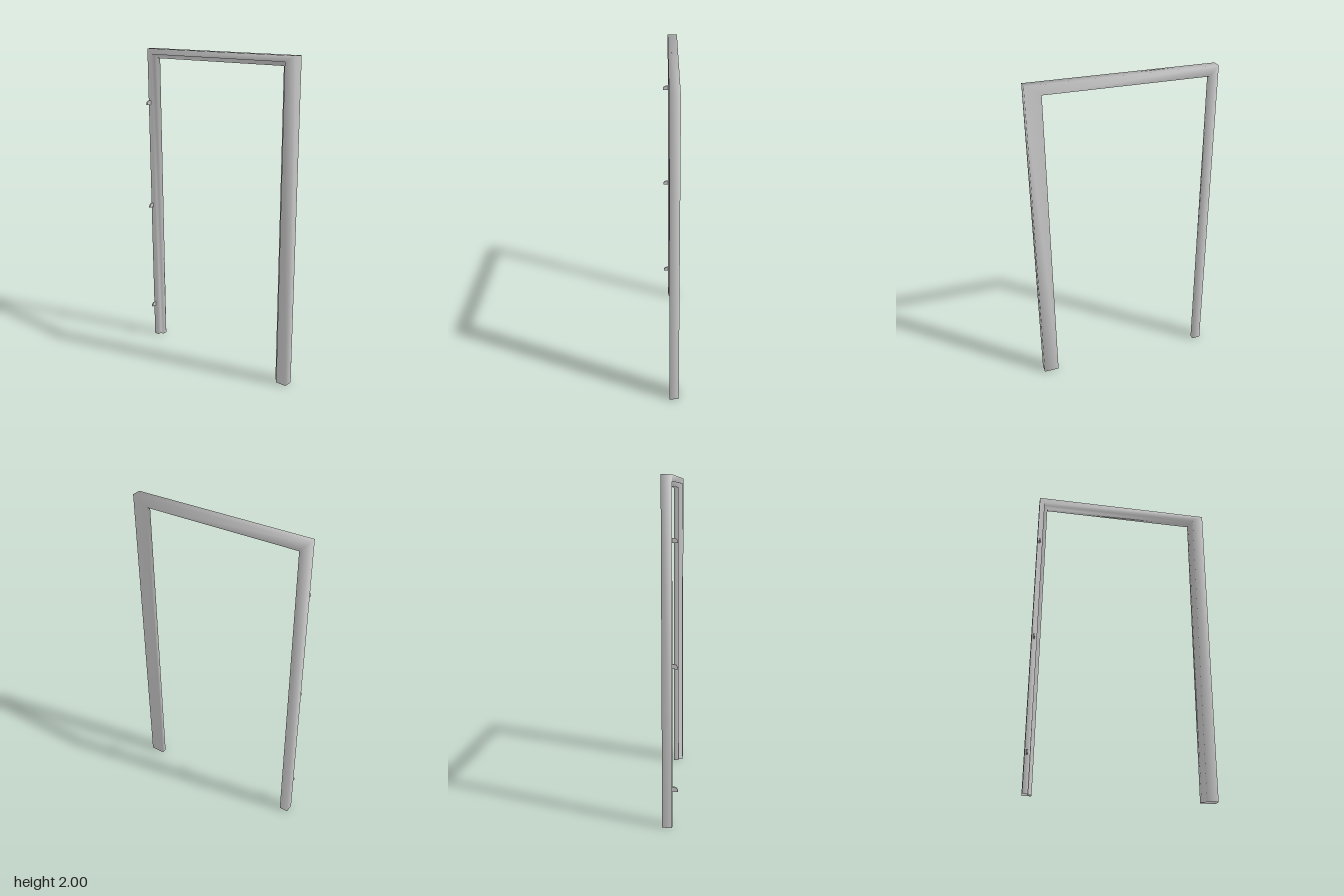
import * as THREE from 'three';

const HALF_WIDTH = 0.57, HEIGHT = 2;
const BACK = -0.045, REBATE = -0.015, FRONT = 0.013;

// Rebated sheet-metal section: [distance in from the outer edge, z]
const section = (face, width) => [
  [0, BACK], [0, FRONT], [face, FRONT], [face, REBATE], [width, REBATE], [width, BACK],
];

// Hollow frame, mitred at the two top corners and open at the feet
function makeFrame(material) {
  const hingeSide = section(0.033, 0.055);
  const head = section(0.036, 0.06);
  const latchSide = section(0.07, 0.095);
  const left = (i) => -HALF_WIDTH + hingeSide[i][0];
  const right = (i) => HALF_WIDTH - latchSide[i][0];
  const top = (i) => HEIGHT - head[i][0];
  const stations = [
    (i) => [left(i), 0],
    (i) => [left(i), top(i)],
    (i) => [right(i), top(i)],
    (i) => [right(i), 0],
  ];

  const n = head.length, positions = [], indices = [];
  stations.forEach((at, s) => {
    for (let i = 0; i < n; i++) {
      positions.push(...at(i), head[i][1]);
      if (s === stations.length - 1) continue;
      const a = s * n + i, b = s * n + (i + 1) % n;
      indices.push(a, b, a + n, b, b + n, a + n);
    }
  });
  const geometry = new THREE.BufferGeometry();
  geometry.setAttribute('position', new THREE.Float32BufferAttribute(positions, 3));
  geometry.setIndex(indices);
  geometry.computeVertexNormals();
  const mesh = new THREE.Mesh(geometry, material);
  mesh.name = 'doorFrame';
  return mesh;
}

// Thin hinge tab: flat underneath, rounded over towards the front
function makeHingeGeometry() {
  const thickness = 0.01, root = FRONT - 0.004, tip = 0.045, rise = 0.027;
  const shape = new THREE.Shape();
  shape.moveTo(root, 0);
  shape.lineTo(tip, 0);
  shape.lineTo(tip, 0.007);
  shape.quadraticCurveTo(tip - 0.004, rise, tip - 0.022, rise);
  shape.lineTo(root, rise);
  shape.closePath();
  const geometry = new THREE.ExtrudeGeometry(shape, {
    depth: thickness, bevelEnabled: false, curveSegments: 8,
  });
  geometry.translate(0, 0, -thickness / 2);
  geometry.rotateY(-Math.PI / 2); // shape x becomes +z
  return geometry;
}

export function createModel() {
  const model = new THREE.Group();
  model.name = 'doorway';
  const sheet = new THREE.MeshStandardMaterial({ color: 0xcccccc, side: THREE.DoubleSide });
  const solid = new THREE.MeshStandardMaterial({ color: 0xcccccc });

  model.add(makeFrame(sheet));

  // Three hinges up the right jamb
  const hingeGeometry = makeHingeGeometry();
  ['lowerHinge', 'middleHinge', 'upperHinge'].forEach((name, i) => {
    const hinge = new THREE.Mesh(hingeGeometry, solid);
    hinge.name = name;
    hinge.position.set(-0.557, [0.222, 0.949, 1.642][i], 0);
    model.add(hinge);
  });
  return model;
}
